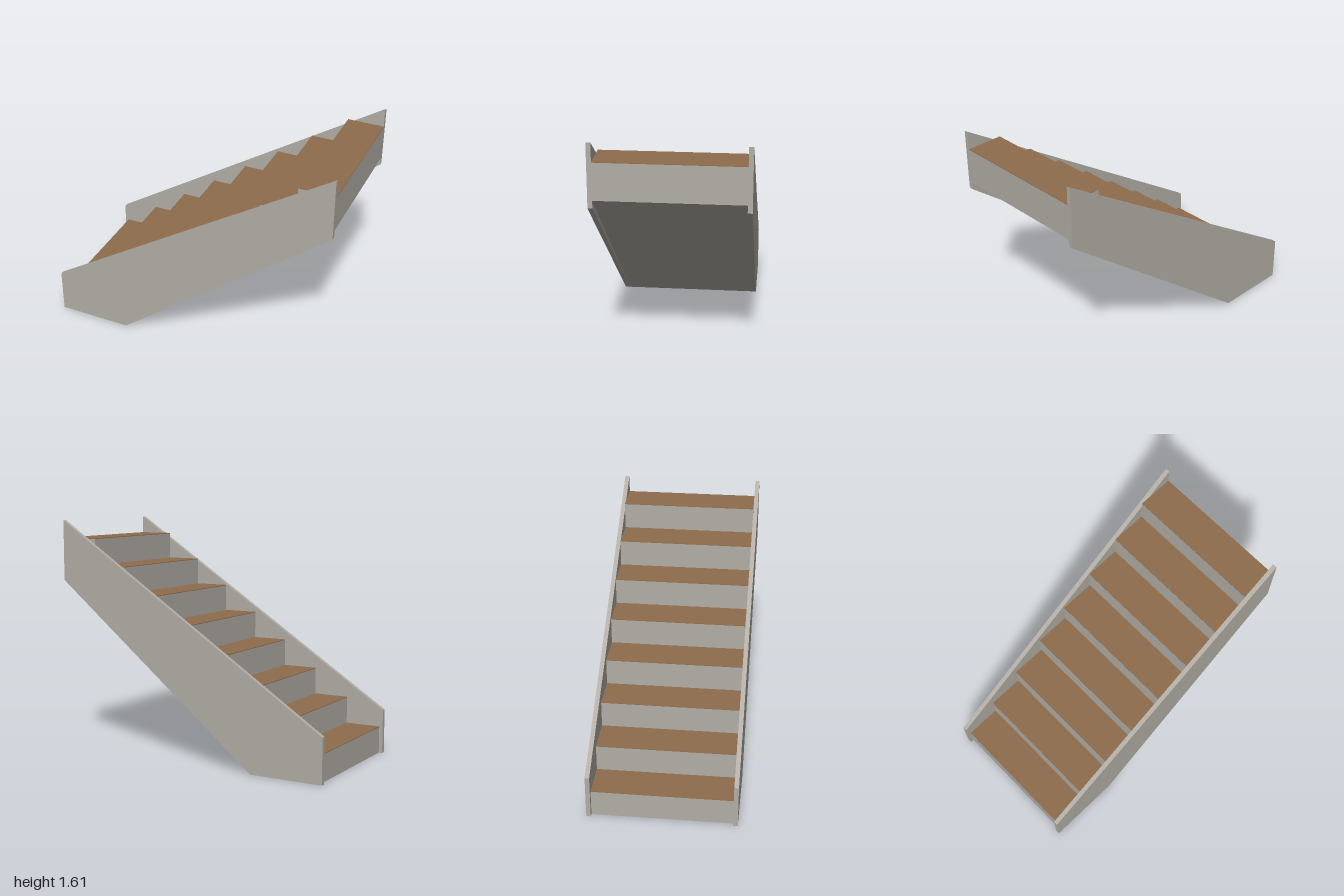
import * as THREE from 'three';

const STEPS = 8, RISE = 0.1856, GOING = 0.2469, START = -0.975;
const INNER = 0.467, PANEL = 0.03, TREAD = 0.004;

// Extrudes an x/y outline from z to z + depth
function slab(name, points, z, depth, material) {
  const shape = new THREE.Shape(points.map(([x, y]) => new THREE.Vector2(x, y)));
  const geometry = new THREE.ExtrudeGeometry(shape, { depth, bevelEnabled: false });
  geometry.translate(0, 0, z);
  const mesh = new THREE.Mesh(geometry, material);
  mesh.name = name;
  return mesh;
}

export function createModel() {
  const group = new THREE.Group();
  group.name = 'staircase';
  const concrete = new THREE.MeshStandardMaterial({ color: 0xb2aea6 });
  concrete.name = 'warm grey';
  const wood = new THREE.MeshStandardMaterial({ color: 0x8f6d4d });
  wood.name = 'wood brown';

  // Side panels
  const side = [[-1, 0], [-0.49, 0], [1, 1.19], [1, 1.605], [-1, 0.305]];
  group.add(slab('leftSidePanel', side, INNER, PANEL, concrete));
  group.add(slab('rightSidePanel', side, -INNER - PANEL, PANEL, concrete));

  // Stepped body with a sloping underside
  const end = START + STEPS * GOING;
  const outline = [[-0.492, 0], [end, 1.24]];
  for (let i = STEPS - 1; i >= 0; i--) {
    const y = (i + 1) * RISE - TREAD;
    outline.push([START + (i + 1) * GOING, y], [START + i * GOING, y]);
  }
  outline.push([START, 0]);
  group.add(slab('stepBody', outline, -INNER, 2 * INNER, concrete));

  // Thin wooden tread surfaces
  const treadGeometry = new THREE.BoxGeometry(GOING, TREAD, 2 * INNER);
  for (let i = 0; i < STEPS; i++) {
    const tread = new THREE.Mesh(treadGeometry, wood);
    tread.name = `tread${i + 1}`;
    tread.position.set(START + (i + 0.5) * GOING, (i + 1) * RISE - TREAD / 2, 0);
    group.add(tread);
  }
  return group;
}
